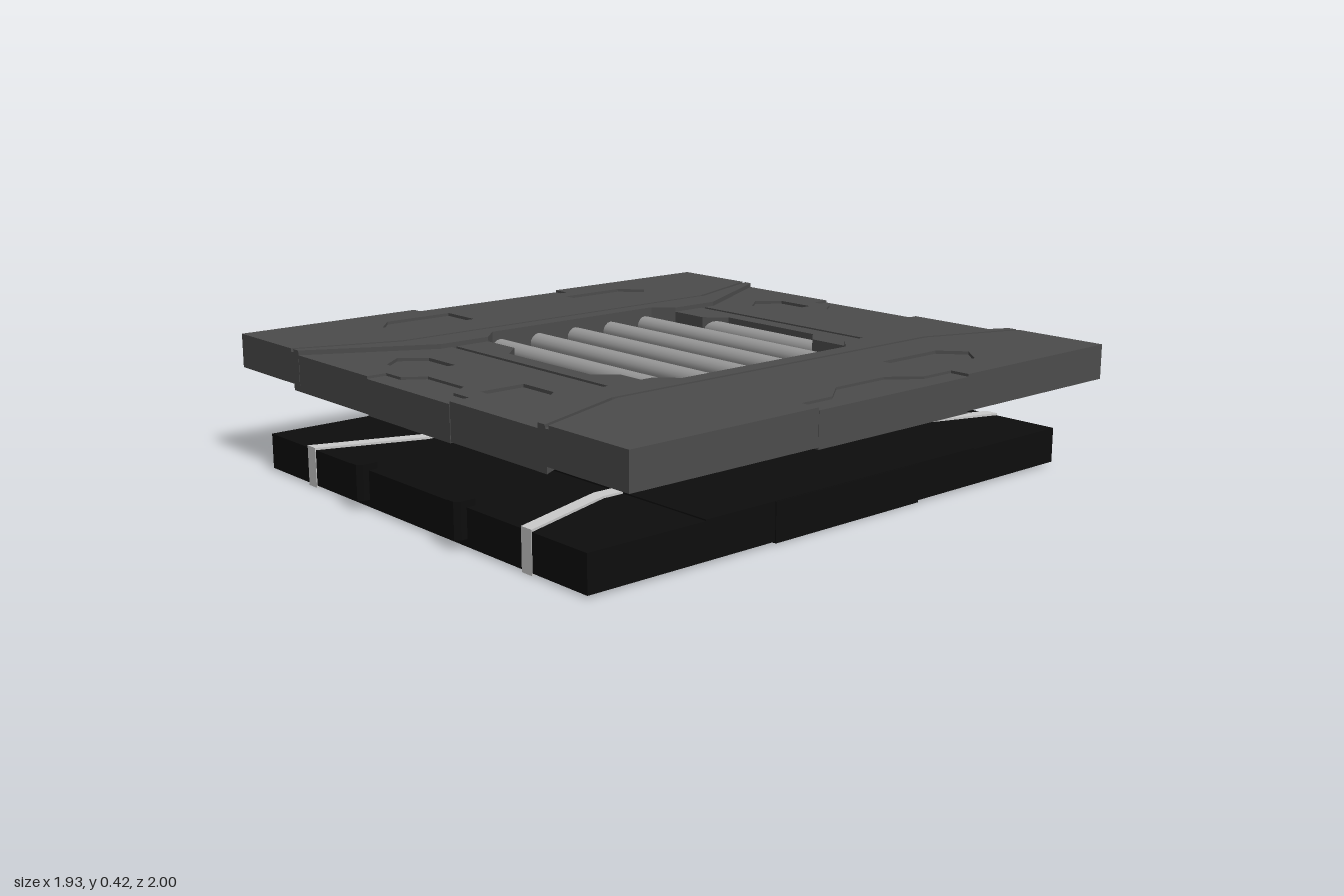
import * as THREE from 'three';

const mat = (color) => new THREE.MeshStandardMaterial({ color, flatShading: true });

// Mirrors a list of [x, z] points.
const flip = (pts, sx, sz) => pts.map(([x, z]) => [x * sx, z * sz]);
// Completes a half outline by reflecting it in x (axis 0) or z (axis 1).
const whole = (half, axis) => [
  ...half,
  ...half.map(([x, z]) => (axis === 0 ? [-x, z] : [x, -z])).reverse(),
];
// Ribbon of the given width that follows a path of [x, z] points.
const ribbon = (path, w) => [
  ...path.map(([x, z]) => [x - w / 2, z]),
  ...path.map(([x, z]) => [x + w / 2, z]).reverse(),
];

// Flat plate from a plan outline between two heights, with optional holes.
function plate(name, pts, y0, y1, material, holes = []) {
  const vec = (list) => list.map(([x, z]) => new THREE.Vector2(x, -z));
  const shape = new THREE.Shape(vec(pts));
  holes.forEach((h) => shape.holes.push(new THREE.Path(vec(h))));
  const geo = new THREE.ExtrudeGeometry(shape, { depth: y1 - y0, bevelEnabled: false });
  geo.rotateX(-Math.PI / 2).translate(0, y0, 0);
  const mesh = new THREE.Mesh(geo, material);
  mesh.name = name;
  return mesh;
}

export function createModel() {
  const model = new THREE.Group();
  const armour = mat(0x4c4c4c);
  const black = mat(0x0d0d0d);
  const trim = mat(0xcccccc);
  const steel = new THREE.MeshStandardMaterial({ color: 0x999999 });

  // Upper cover
  const cover = new THREE.Group();
  cover.name = 'cover';
  model.add(cover);

  // Five-sided pockets sunk into the panels
  const sidePocket = [[0.685, 0.255], [0.835, 0.255], [0.835, 0.5], [0.76, 0.565], [0.685, 0.5]];
  const endPocket = [[0.17, 0.685], [0.17, 0.835], [0.31, 0.835], [0.37, 0.76], [0.31, 0.685]];

  for (const s of [1, -1]) {
    // Side panel: solid base, then a top skin with an edge notch and pockets
    const base = whole([[0.965, 0.965], [0.605, 0.965], [0.4, 0.58], [0.4, 0.4], [0.46, 0.34]], 1);
    cover.add(plate('sidePanelBase', flip(base, s, 1), 0.31, 0.41, armour));
    const skin = whole([
      [0.83, 0.1], [0.9, 0.19], [0.9, 0.31], [0.965, 0.31],
      [0.965, 0.965], [0.65, 0.965], [0.53, 0.64],
    ], 1);
    cover.add(plate('sidePanelSkin', flip(skin, s, 1), 0.409, 0.42, armour,
      [1, -1].map((sz) => flip(sidePocket, s, sz))));

    // Raised band inside the groove
    const band = whole([
      [0.635, 0.965], [0.605, 0.965], [0.4, 0.58], [0.4, 0.4], [0.46, 0.34],
    ], 1);
    band.push([0.515, -0.645], [0.515, 0.645]);
    cover.add(plate('innerBand', flip(band, s, 1), 0.409, 0.42, armour));

    // Lip under the outer edge of the side panel
    const sideLip = whole([[0.966, 0.31], [0.9, 0.31], [0.9, 0.19], [0.83, 0.1]], 1);
    cover.add(plate('sideLip', flip(sideLip, s, 1), 0.304, 0.412, armour));

    // End panel: lower base and a two-part skin split by a groove
    const endBase = whole([
      [0.64, 0.964], [0.43, 0.58], [0.4, 0.4], [0.26, 0.4], [0.2, 0.465],
    ], 0);
    cover.add(plate('endPanelBase', flip(endBase, 1, s), 0.29, 0.395, armour));
    const endSkin = whole([
      [0.09, 0.835], [0.135, 0.9], [0.21, 0.9], [0.21, 0.965],
      [0.605, 0.965], [0.4, 0.58], [0.4, 0.54],
    ], 0);
    cover.add(plate('endPanelSkin', flip(endSkin, 1, s), 0.394, 0.405, armour,
      [1, -1].map((sx) => flip(endPocket, sx, s))));
    const grilleEdge = whole([[0.4, 0.522], [0.4, 0.4], [0.26, 0.4], [0.2, 0.465]], 0);
    cover.add(plate('grilleEdge', flip(grilleEdge, 1, s), 0.394, 0.405, armour));

    const endLip = whole([[0.21, 0.966], [0.21, 0.9], [0.135, 0.9], [0.09, 0.835]], 0);
    cover.add(plate('endLip', flip(endLip, 1, s), 0.287, 0.397, armour));
  }

  // Grille: round bars over two bent supports
  const grille = new THREE.Group();
  grille.name = 'grille';
  model.add(grille);
  for (let i = -3; i <= 3; i++) {
    const last = Math.abs(i) === 3;
    const bar = new THREE.Mesh(new THREE.CylinderGeometry(0.032, 0.032, last ? 0.52 : 0.93, 16), steel);
    bar.name = 'grilleBar';
    bar.rotation.z = Math.PI / 2;
    bar.position.set(0, 0.36, last ? Math.sign(i) * 0.436 : i * 0.155);
    grille.add(bar);
  }
  for (const s of [1, -1]) {
    const path = [[0.19, 0.46], [0.232, 0.08], [0.232, -0.08], [0.19, -0.46]];
    grille.add(plate('grilleSupport', flip(ribbon(path, 0.034), s, 1), 0.295, 0.335, trim));
  }

  // Lower slab
  const slab = new THREE.Group();
  slab.name = 'slab';
  model.add(slab);
  const rect = (x, z) => [[-x, -z], [x, -z], [x, z], [-x, z]];
  slab.add(plate('slabBody', rect(0.8, 0.965), 0.007, 0.12, black));
  slab.add(plate('slabRaisedTop', rect(0.8, 0.56), 0.119, 0.124, black));
  slab.add(plate('slabFoot', rect(0.803, 0.3), 0.002, 0.122, black));

  for (const s of [1, -1]) {
    // Light strip that wraps the slab, splayed at both ends
    const path = [[0.55, 0.967], [0.435, 0.63], [0.435, -0.63], [0.55, -0.967]];
    slab.add(plate('wrapStrip', flip(ribbon(path, 0.045), s, 1), 0, 0.127, trim));

    // Chamfered lugs on the front and back edges
    for (const sz of [1, -1]) {
      const lug = [
        [0.222, 0.935], [0.222, 0.985], [0.235, 1], [0.265, 1], [0.278, 0.985], [0.278, 0.935],
      ];
      slab.add(plate('lug', flip(lug, s, sz), 0.03, 0.14, black));
    }
  }
  return model;
}
